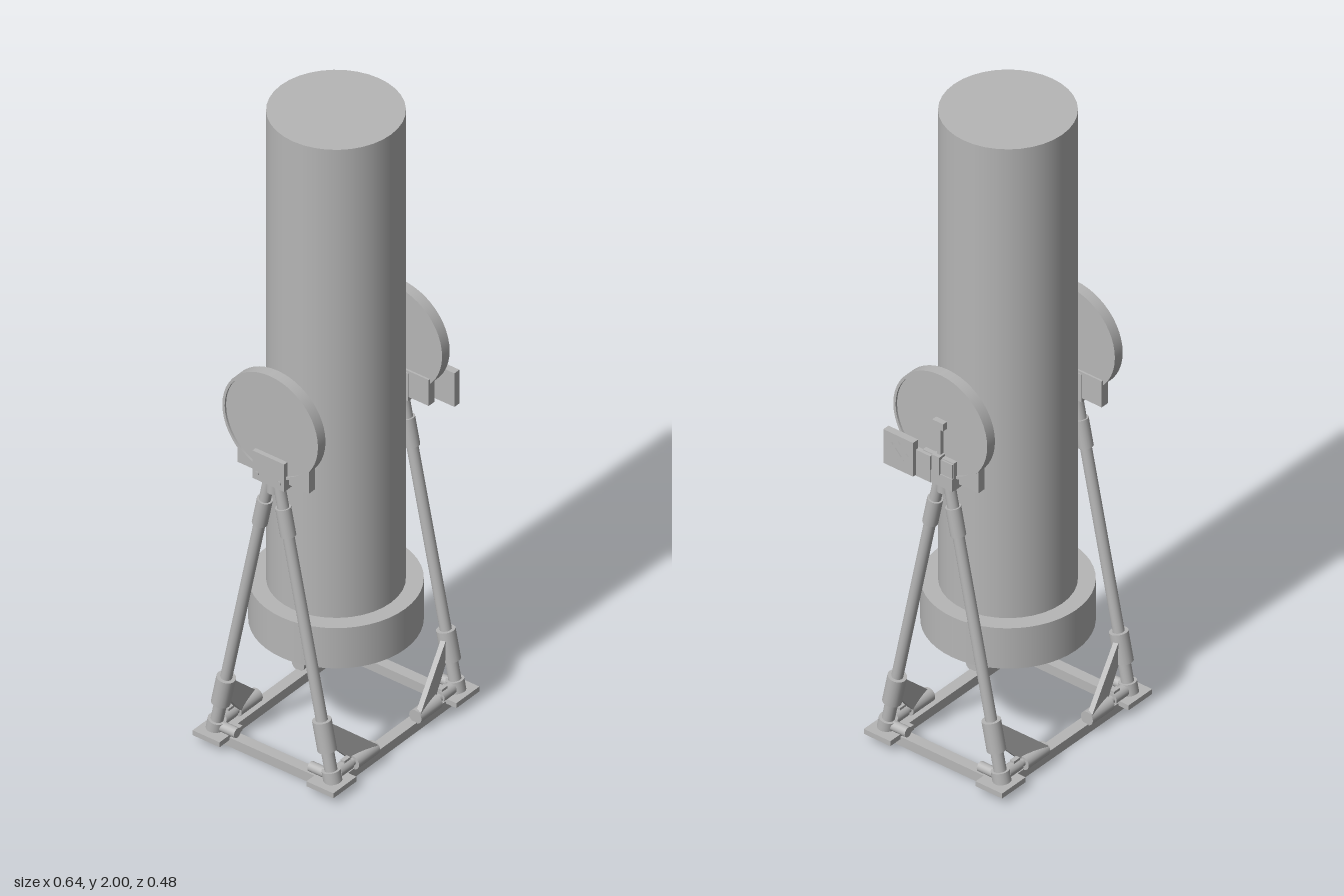
import * as THREE from 'three';

const grey = new THREE.MeshStandardMaterial({ color: 0xb6b6b6 });
grey.name = 'plain grey';

function add(parent, name, geometry, x = 0, y = 0, z = 0) {
  const mesh = new THREE.Mesh(geometry, grey);
  mesh.name = name;
  mesh.position.set(x, y, z);
  parent.add(mesh);
  return mesh;
}

// box given by its low and high corners
function box(parent, name, [x0, y0, z0], [x1, y1, z1]) {
  return add(parent, name, new THREE.BoxGeometry(x1 - x0, y1 - y0, z1 - z0),
    (x0 + x1) / 2, (y0 + y1) / 2, (z0 + z1) / 2);
}

// round rod between two points
function rod(parent, name, a, b, radius, sides = 20) {
  const from = new THREE.Vector3(...a), to = new THREE.Vector3(...b);
  const dir = to.clone().sub(from);
  const mesh = add(parent, name, new THREE.CylinderGeometry(radius, radius, dir.length(), sides));
  mesh.position.copy(from).add(to).multiplyScalar(0.5);
  mesh.quaternion.setFromUnitVectors(new THREE.Vector3(0, 1, 0), dir.normalize());
  return mesh;
}

// diagonal brace: a flat plate profile, swung slightly inward
function brace(parent, sx, sz) {
  const pts = [[0.27, 0.2], [0.245, 0.2], [0.095, 0.065], [0.095, 0.04], [0.17, 0.04], [0.245, 0.125], [0.27, 0.125]];
  const shape = new THREE.Shape(pts.map(([x, y]) => new THREE.Vector2(sx * x, y)));
  const geo = new THREE.ExtrudeGeometry(shape, { depth: 0.016, bevelEnabled: false });
  const p = geo.attributes.position;
  for (let i = 0; i < p.count; i++) {
    const t = (0.27 - Math.abs(p.getX(i))) / 0.175;
    p.setZ(i, p.getZ(i) - 0.008 + sz * (0.168 + 0.04 * t));
  }
  geo.computeVertexNormals();
  add(parent, 'brace', geo);
}

function corner(parent, sx, sz) {
  const g = new THREE.Group();
  g.name = 'cornerFoot';
  const X = sx * 0.27;
  add(g, 'footPlate', new THREE.BoxGeometry(0.1, 0.016, 0.092), sx * 0.268, 0.03, sz * 0.194);
  // leg runs from the foot up to the side bearing
  const at = (y) => [X, y, sz * (0.2 - (y - 0.04) * 0.206)];
  rod(g, 'ankle', at(0.036), at(0.07), 0.026);
  rod(g, 'ankleNeck', at(0.05), at(0.14), 0.018);
  rod(g, 'lowerSocket', at(0.13), at(0.22), 0.027);
  rod(g, 'leg', at(0.1), at(0.86), 0.0165);
  rod(g, 'upperSocket', at(0.775), at(0.86), 0.022);
  rod(g, 'upperNeck', at(0.84), [X, 0.945, sz * 0.014], 0.0165);
  rod(g, 'clampBolt', [X, 0.795, sz * 0.03], [X, 0.79, sz * 0.063], 0.01, 12);
  // horizontal fittings beside the foot
  rod(g, 'sideFitting', [sx * 0.25, 0.053, sz * 0.198], [sx * 0.197, 0.053, sz * 0.198], 0.018);
  rod(g, 'sidePin', [sx * 0.2, 0.05, sz * 0.198], [sx * 0.175, 0.05, sz * 0.198], 0.012);
  rod(g, 'sideSleeve', [sx * 0.182, 0.047, sz * 0.2], [sx * 0.09, 0.047, sz * 0.2], 0.021);
  add(g, 'fittingKey', new THREE.BoxGeometry(0.026, 0.012, 0.014), sx * 0.212, 0.071, sz * 0.198);
  rod(g, 'innerFitting', [X, 0.052, sz * 0.185], [X, 0.052, sz * 0.125], 0.015);
  brace(g, sx, sz);
  parent.add(g);
}

function bearing(parent, sx) {
  const g = new THREE.Group();
  g.name = 'sideBearing';
  const dish = new THREE.LatheGeometry([
    [0, -0.014], [0.163, -0.014], [0.163, -0.014], [0.163, 0.019], [0.163, 0.019],
    [0.155, 0.019], [0.155, 0.019], [0.155, 0.013], [0.155, 0.013], [0, 0.013],
  ].map(([r, y]) => new THREE.Vector2(r, y)), 48);
  const disk = add(g, 'bearingDisk', dish, sx * 0.268, 1.122, 0);
  disk.rotation.z = -sx * Math.PI / 2;
  add(g, 'bearingSkirt', new THREE.BoxGeometry(0.026, 0.085, 0.244), sx * 0.261, 0.9875, 0);
  add(g, 'bearingBlock', new THREE.BoxGeometry(0.05, 0.09, 0.108), sx * 0.27, 0.978, 0);
  rod(g, 'blockStem', [sx * 0.27, 0.9, 0], [sx * 0.27, 0.94, 0], 0.02);
  for (const z of [-0.028, 0, 0.028])
    rod(g, 'innerBolt', [sx * 0.25, 0.965, z], [sx * 0.24, 0.965, z], 0.008, 12);
  for (const z of [-0.038, 0.038])
    rod(g, 'outerBolt', [sx * 0.29, 0.955, z], [sx * 0.299, 0.955, z], 0.006, 12);
  parent.add(g);
}

// control plate and catch, on one side only
function controls(parent) {
  const g = new THREE.Group();
  g.name = 'controls';
  box(g, 'controlArm', [0.29, 0.935, 0.02], [0.305, 1.02, 0.08]);
  box(g, 'controlPlate', [0.295, 0.938, 0.07], [0.317, 1.048, 0.173]);
  box(g, 'mountPlate', [0.294, 0.935, -0.054], [0.303, 0.975, 0.022]);
  box(g, 'catchBody', [0.28, 0.972, -0.012], [0.306, 1.03, 0.014]);
  box(g, 'catchSide', [0.28, 0.972, -0.052], [0.3, 1.02, -0.012]);
  box(g, 'catchRod', [0.278, 1.02, -0.006], [0.294, 1.135, 0.006]);
  box(g, 'catchKnob', [0.278, 1.115, -0.019], [0.298, 1.138, 0.019]);
  // raised crossing bars on the plate
  for (const [dz, tilt] of [[-0.016, 0.8], [0.012, 0.8], [0, -0.8]]) {
    const bar = add(g, 'plateBar', new THREE.BoxGeometry(0.006, 0.01, 0.06), 0.318, 0.995 + dz, 0.125 + dz);
    bar.rotation.x = tilt;
  }
  parent.add(g);
}

export function createModel() {
  const model = new THREE.Group();
  model.name = 'telescope';

  // tube and its wider bottom cell
  add(model, 'tube', new THREE.CylinderGeometry(0.188, 0.188, 1.54, 36), 0, 1.23, 0);
  add(model, 'bottomCell', new THREE.CylinderGeometry(0.236, 0.236, 0.132, 48), 0, 0.4, 0);

  // flat rectangular ground frame
  for (const s of [-1, 1]) {
    add(model, 'crossRail', new THREE.BoxGeometry(0.55, 0.03, 0.034), 0, 0.015, s * 0.188);
    add(model, 'sideRail', new THREE.BoxGeometry(0.034, 0.03, 0.35), s * 0.258, 0.015, 0);
    bearing(model, s);
    for (const t of [-1, 1]) corner(model, s, t);
  }
  controls(model);
  return model;
}
